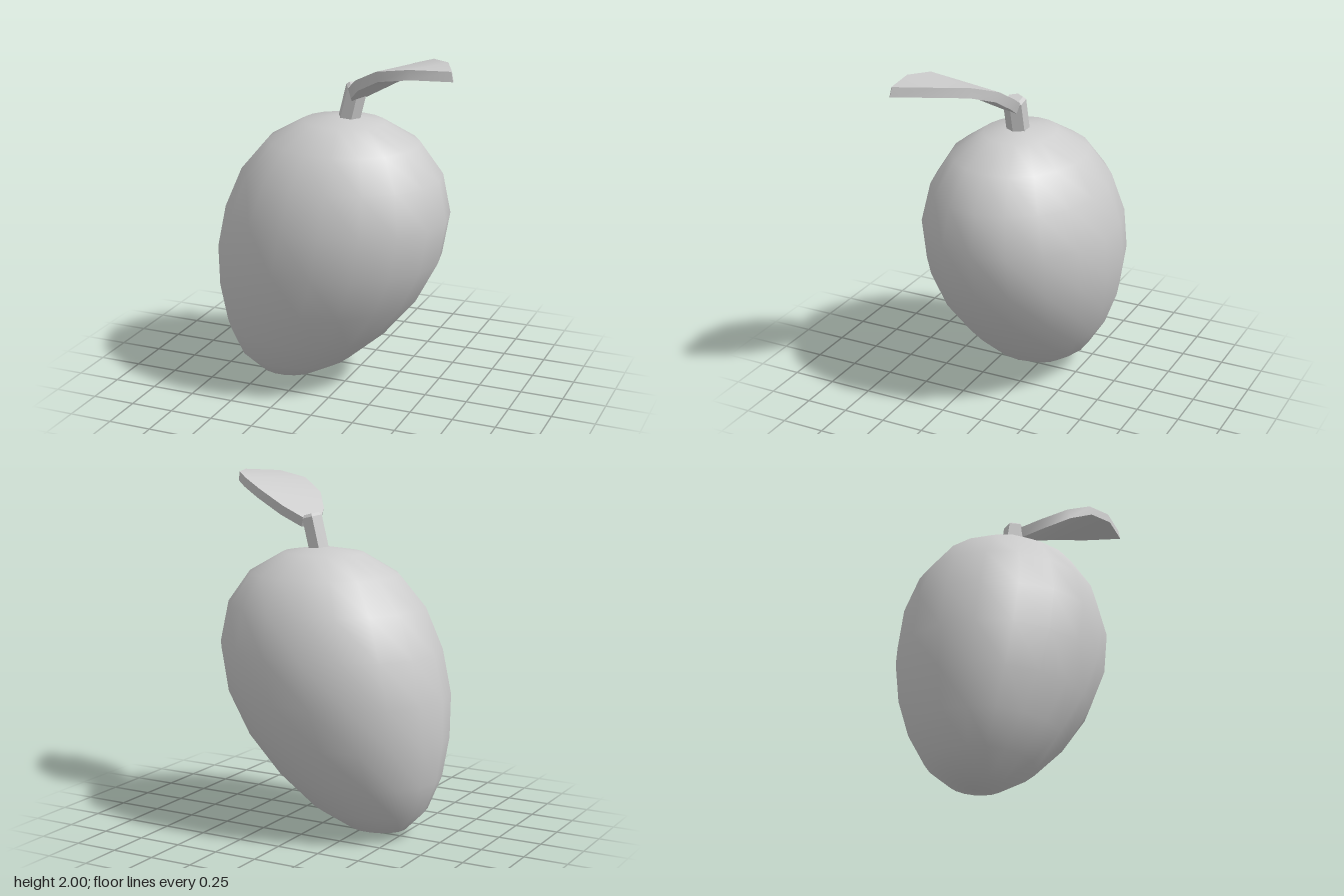
import * as THREE from 'three';
import { toCreasedNormals } from 'three/addons/utils/BufferGeometryUtils.js';

// Skin a row of closed rings and close both ends onto the points start and end.
function loft(rings, start, end) {
  const n = rings[0].length, last = (rings.length - 1) * n;
  const points = [...rings.flat(), start, end];
  const s = points.length - 2, e = s + 1, index = [];
  for (let i = 0; i < n; i++) {
    const j = (i + 1) % n;
    for (let r = 0; r < last; r += n) {
      index.push(r + i, r + n + i, r + n + j, r + i, r + n + j, r + j);
    }
    index.push(s, i, j, e, last + j, last + i);
  }
  const g = new THREE.BufferGeometry().setFromPoints(points);
  g.setIndex(index);
  g.computeVertexNormals();
  return g;
}

function part(name, geometry, material) {
  const mesh = new THREE.Mesh(geometry, material);
  mesh.name = name;
  return mesh;
}

export function createModel() {
  const group = new THREE.Group();
  group.name = 'fruit';
  const grey = new THREE.MeshStandardMaterial({ color: 0xcccccc });
  grey.name = 'light grey';
  const greyFlat = grey.clone();
  greyFlat.flatShading = true;

  // Fruit: elliptical rings as [y, left x, right x, half depth]
  const sides = 18;
  const rings = [
    [0.04, -0.53, -0.185, 0.142],
    [0.155, -0.645, 0.025, 0.284],
    [0.34, -0.72, 0.24, 0.406],
    [0.565, -0.755, 0.43, 0.503],
    [0.81, -0.755, 0.56, 0.558],
    [1.06, -0.7, 0.605, 0.558],
    [1.29, -0.6, 0.56, 0.492],
    [1.47, -0.445, 0.43, 0.375],
    [1.585, -0.24, 0.23, 0.203],
  ].map(([y, x0, x1, d]) => Array.from({ length: sides }, (_, i) => {
    const a = (i / sides) * Math.PI * 2;
    return new THREE.Vector3((x0 + x1) / 2 + Math.cos(a) * (x1 - x0) / 2, y, Math.sin(a) * d);
  }));
  group.add(part('fruitBody', loft(rings,
    new THREE.Vector3(-0.375, 0, 0), new THREE.Vector3(0, 1.62, 0)), grey));

  // Stem: leaning six-sided peg with a bevelled top
  const profile = [[0, 0], [0.064, 0], [0.064, 0.235], [0.048, 0.252], [0, 0.252]]
    .map(([r, y]) => new THREE.Vector2(r, y));
  const stem = part('stem', new THREE.LatheGeometry(profile, 6, Math.PI / 2), greyFlat);
  stem.position.set(0.0125, 1.55, 0);
  stem.rotation.z = -0.245;
  group.add(stem);

  // Leaf: thick curved blade; stations as
  // [distance along, half width, near top y, far top y, forward shift of underside]
  const base = new THREE.Vector2(0.07, 0), dir = new THREE.Vector2(0.876, 0.482);
  const leafRings = [
    [0, 0.055, 1.765, 1.775, 0.025],
    [0.09, 0.135, 1.81, 1.838, 0.025],
    [0.24, 0.205, 1.89, 1.928, 0.022],
    [0.405, 0.202, 1.965, 1.98, 0.015],
    [0.59, 0.137, 1.998, 2, 0.012],
    [0.765, 0.002, 2, 2, 0.014],
  ].map(([u, w, yNear, yFar, shift]) => {
    const at = (along, side, y) => new THREE.Vector3(
      base.x + dir.x * along - dir.y * side, y, base.y + dir.y * along + dir.x * side);
    return [at(u, w, yNear), at(u, -w, yFar),
      at(u + shift, -w, yFar - 0.052), at(u + shift, w, yNear - 0.052)];
  });
  const middle = (ring) => ring.reduce((s, p) => s.add(p), new THREE.Vector3()).divideScalar(4);
  const leaf = loft(leafRings, middle(leafRings[0]), middle(leafRings[leafRings.length - 1]));
  group.add(part('leaf', toCreasedNormals(leaf, 0.7), grey));

  return group;
}
